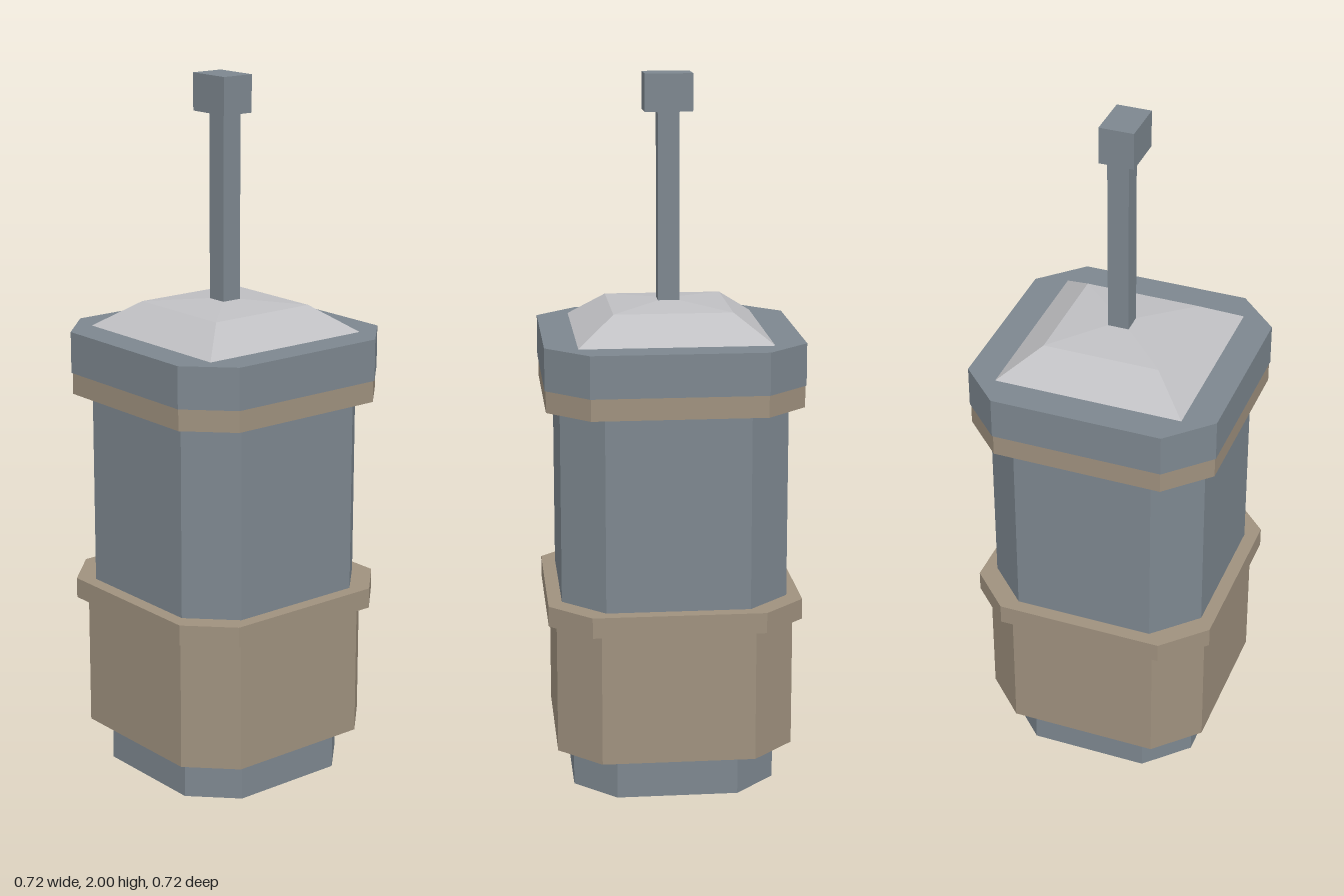
import * as THREE from 'three';

export function createModel() {
  const model = new THREE.Group();
  const paint = (name, color) => {
    const m = new THREE.MeshStandardMaterial({ color });
    m.name = name;
    return m;
  };
  const slate = paint('slate', 0x7d878f);
  const tan = paint('tan', 0x9f917e);
  const pale = paint('paleGrey', 0xc0c0c3);

  const add = (name, geometry, material) => {
    const mesh = new THREE.Mesh(geometry, material);
    mesh.name = name;
    model.add(mesh);
    return mesh;
  };

  // Square prism with cut corners: half is the half width, flat the half length of each side
  const octagon = (name, y0, y1, half, flat, material) => {
    const shape = new THREE.Shape([
      [half, -flat], [half, flat], [flat, half], [-flat, half],
      [-half, flat], [-half, -flat], [-flat, -half], [flat, -half],
    ].map(([x, y]) => new THREE.Vector2(x, y)));
    const g = new THREE.ExtrudeGeometry(shape, { depth: y1 - y0, bevelEnabled: false });
    g.rotateX(-Math.PI / 2).translate(0, y0, 0);
    add(name, g, material);
  };

  // Stacked canister
  octagon('foot', 0, 0.12, 0.285, 0.17, slate);
  octagon('lowerSleeve', 0.12, 0.498, 0.332, 0.214, tan);
  octagon('lowerBand', 0.498, 0.556, 0.355, 0.24, tan);
  octagon('body', 0.556, 1.107, 0.316, 0.2, slate);
  octagon('upperBand', 1.107, 1.168, 0.355, 0.24, tan);
  octagon('cap', 1.168, 1.286, 0.358, 0.242, slate);

  // Four-sided dome: steep skirt, then a nearly flat pyramid
  const profile = [[0.267, 1.286], [0.165, 1.36], [0, 1.376]]
    .map(([r, y]) => new THREE.Vector2(r * Math.SQRT2, y));
  const dome = new THREE.LatheGeometry(profile, 4, Math.PI / 4).toNonIndexed();
  dome.computeVertexNormals();
  add('dome', dome, pale);

  // Plunger rod and its knob
  add('rod', new THREE.BoxGeometry(0.06, 0.54, 0.06), slate).position.set(0, 1.63, 0);
  add('knob', new THREE.BoxGeometry(0.133, 0.104, 0.097), slate).position.set(0, 1.948, 0.009);

  return model;
}
